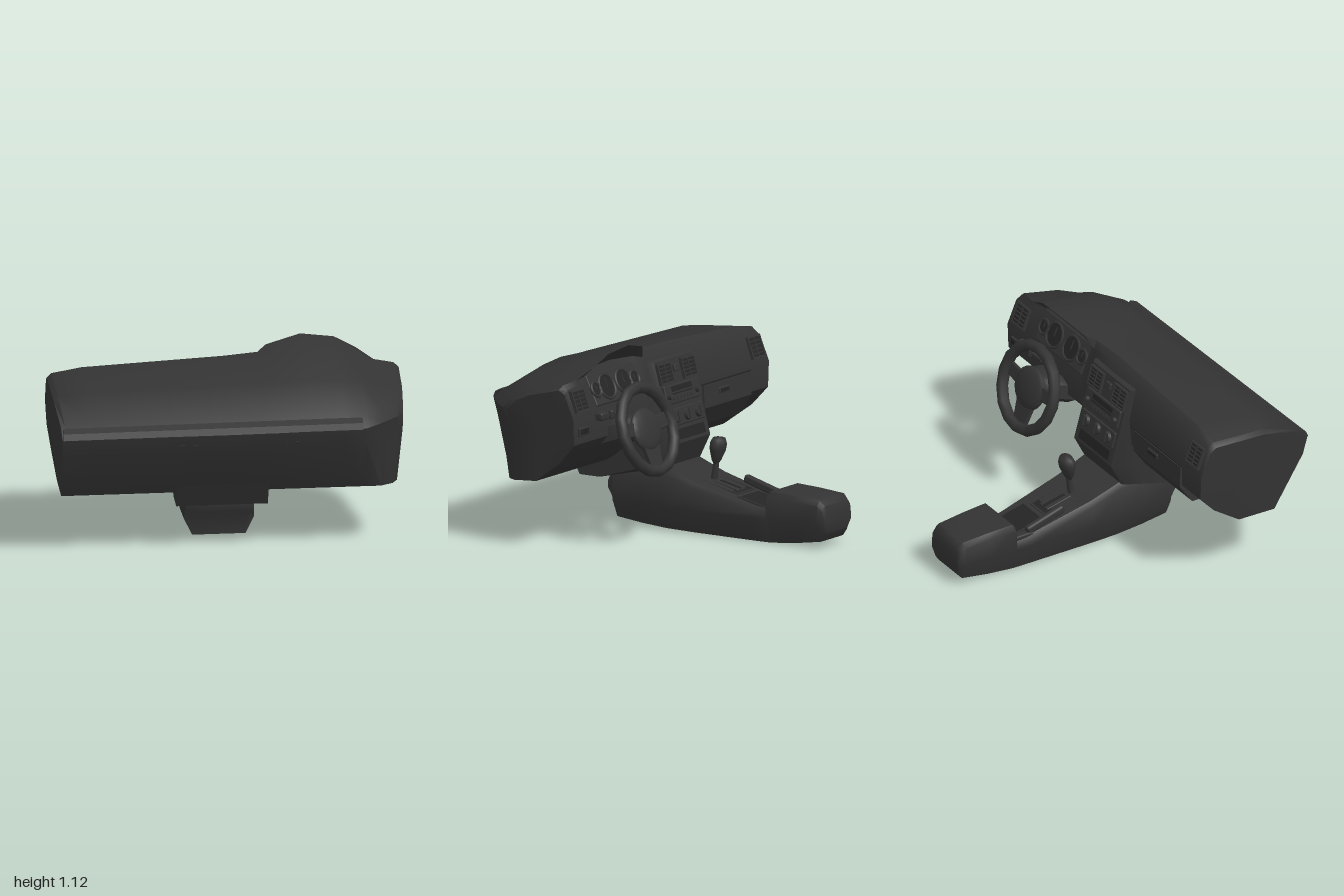
import * as THREE from 'three';
import { toCreasedNormals } from 'three/addons/utils/BufferGeometryUtils.js';
import { RoundedBoxGeometry } from 'three/addons/geometries/RoundedBoxGeometry.js';

const plastic = new THREE.MeshStandardMaterial({ color: 0x333333 });
plastic.name = 'darkGreyPlastic';
const recess = new THREE.MeshStandardMaterial({ color: 0x242424 });
recess.name = 'blackRecess';

// Skin a row of closed cross-sections (arrays of [x, y, z]) and cap both ends.
function loft(sections, crease = 0.6) {
  const n = sections[0].length, pos = [], p = sections.flat(), idx = [];
  for (let s = 0; s < sections.length - 1; s++) {
    for (let i = 0; i < n; i++) {
      const a = s * n + i, b = s * n + (i + 1) % n;
      idx.push(a, b, a + n, b, b + n, a + n);
    }
  }
  [0, sections.length - 1].forEach((s, k) => {
    const flat = sections[s];
    const c = [0, 1, 2].map((j) => flat.reduce((t, q) => t + q[j], 0) / n);
    const ci = p.push(c) - 1;
    for (let i = 0; i < n; i++) {
      const a = s * n + i, b = s * n + (i + 1) % n;
      if (k) idx.push(a, b, ci); else idx.push(b, a, ci);
    }
  });
  // Turn the faces outward whichever way the sections run.
  const v = idx.map((i) => new THREE.Vector3(...p[i]));
  let volume = 0;
  for (let i = 0; i < v.length; i += 3) volume += v[i].dot(v[i + 1].clone().cross(v[i + 2]));
  for (let i = 0; i < v.length; i += 3) {
    const t = volume > 0 ? [v[i], v[i + 1], v[i + 2]] : [v[i], v[i + 2], v[i + 1]];
    t.forEach((q) => pos.push(q.x, q.y, q.z));
  }
  const g = new THREE.BufferGeometry();
  g.setAttribute('position', new THREE.Float32BufferAttribute(pos, 3));
  return toCreasedNormals(g, crease);
}

function add(parent, name, geometry, x = 0, y = 0, z = 0, material = plastic) {
  const m = new THREE.Mesh(geometry, material);
  m.name = name;
  m.position.set(x, y, z);
  parent.add(m);
  return m;
}
const box = (w, h, d) => new THREE.BoxGeometry(w, h, d);
const rbox = (w, h, d, r) => new RoundedBoxGeometry(w, h, d, 2, r);
const knobGeo = (r, d) => new THREE.CylinderGeometry(r * 0.85, r, d, 14).rotateX(Math.PI / 2);

// Group facing the cabin: local +z points back and is tipped upward by t.
function facing(parent, name, x, y, z, t) {
  const g = new THREE.Group();
  g.name = name;
  g.position.set(x, y, z);
  g.rotation.set(-t, Math.PI, 0, 'YXZ');
  parent.add(g);
  return g;
}

function vent(parent, x, y, w, h) {
  const g = new THREE.Group();
  g.name = 'airVent';
  g.position.set(x, y, 0);
  parent.add(g);
  add(g, 'ventOpening', box(w, h, 0.012), 0, 0, 0.003, recess);
  for (const s of [-1, 1]) {
    add(g, 'ventFrameSide', box(0.01, h, 0.03), s * w / 2, 0, 0.003);
    add(g, 'ventFrameRail', box(w + 0.01, 0.01, 0.03), 0, s * h / 2, 0.003);
  }
  for (let i = 1; i < 5; i++) {
    add(g, 'ventSlat', box(w, 0.007, 0.016), 0, -h / 2 + i * h / 5, 0.006).rotation.x = 0.4;
  }
  add(g, 'ventDivider', box(0.007, h, 0.02), 0, 0, 0.006);
}

// Main dashboard shell, one cross-section per station across x.
function dashboard(root) {
  // x, front z, upper z, upper y, lip z, lip y, recess z, recess y
  const stations = [
    [-1.0, 0.915, 0.61, 0.92, 0.28, 0.945, 0.24, 0.92],
    [-0.975, 0.915, 0.62, 0.94, 0.28, 0.97, 0.24, 0.94],
    [-0.8, 0.915, 0.63, 0.965, 0.28, 1.0, 0.24, 0.96],
    [0.0, 0.915, 0.63, 0.985, 0.28, 1.04, 0.23, 0.99],
    [0.2, 0.91, 0.63, 0.99, 0.26, 1.05, 0.24, 1.0],
    [0.25, 0.91, 0.63, 0.99, 0.21, 1.075, 0.28, 1.01],
    [0.45, 0.9, 0.63, 1.0, 0.17, 1.12, 0.3, 1.02],
    [0.64, 0.89, 0.62, 0.99, 0.18, 1.1, 0.3, 1.01],
    [0.76, 0.88, 0.6, 0.97, 0.2, 1.04, 0.27, 0.98],
    [0.86, 0.79, 0.56, 0.93, 0.25, 0.98, 0.24, 0.95],
    [0.97, 0.69, 0.5, 0.91, 0.27, 0.965, 0.24, 0.94],
    [1.0, 0.64, 0.48, 0.89, 0.28, 0.94, 0.24, 0.92],
  ];
  const sections = stations.map(([x, zf, zu, yu, zl, yl, zr, yr]) => [
    [zf, 0.79], [zf - 0.07, 0.85], [zu, yu], [zl, yl], [zr, yr], [0.18, 0.78],
    [0.18, 0.63], [0.28, 0.52], [0.46, 0.39], [Math.min(0.7, zf - 0.03), 0.38], [zf - 0.03, 0.69],
  ].map(([z, y]) => {
    // The ends draw in toward the bottom and toward the windscreen.
    const taper = 0.13 * Math.max(0, 0.7 - y) + 0.07 * Math.max(0, z - 0.5) * (y > 0.6 ? 1 : 0);
    return [Math.abs(x) > 0.9 ? x * (1 - taper) : x, y, z];
  }));
  add(root, 'dashboardShell', loft(sections, 0.7));

  // Cowl strip along the windscreen edge and a shallow rib on the bulkhead side
  const strip = (x0, x1, prof, shift = 0) => loft([[x0, 0], [x1, shift]].map(
    ([x, dz]) => prof.map(([z, y]) => [x, y, z + dz])));
  add(root, 'cowlStrip', strip(-0.965, 0.74, [[0.925, 0.79], [0.91, 0.825], [0.87, 0.845], [0.83, 0.82], [0.87, 0.78]], -0.028));
  add(root, 'bulkheadRib', strip(-0.3, 0.4, [[0.9, 0.73], [0.888, 0.7], [0.84, 0.69], [0.84, 0.75]], -0.012));

  // Glove box door with latch
  add(root, 'gloveBoxDoor', strip(-0.8, -0.32, [[0.17, 0.75], [0.165, 0.62], [0.25, 0.5], [0.36, 0.5], [0.3, 0.75]]));
  add(root, 'gloveBoxLatch', rbox(0.1, 0.035, 0.016, 0.006), -0.52, 0.7, 0.168);
  add(root, 'gloveBoxLatchSlot', box(0.08, 0.018, 0.004), -0.52, 0.7, 0.159, recess);
  add(root, 'gloveBoxSeam', box(0.5, 0.008, 0.006), -0.56, 0.756, 0.177, recess);

  // Outer vents and switches
  for (const s of [-1, 1]) vent(facing(root, 'outerVent', s * 0.9, 0.87, 0.212, 0.36), 0, 0, 0.12, 0.12);
  add(root, 'switchPanel', rbox(0.1, 0.05, 0.02, 0.005), 0.9, 0.7, 0.178);
  for (const s of [-1, 1]) add(root, 'switch', box(0.035, 0.03, 0.008), 0.9 + s * 0.022, 0.7, 0.168, recess);
}

// Gauges under the hood
function instruments(root) {
  const g = facing(root, 'instrumentCluster', 0.5, 0.895, 0.237, 0.46);
  add(g, 'clusterPanel', rbox(0.48, 0.19, 0.02, 0.009));
  for (const [x, r] of [[-0.085, 0.072], [0.085, 0.072], [-0.195, 0.042], [0.195, 0.042]]) {
    add(g, 'gaugeRing', new THREE.TorusGeometry(r, 0.009, 6, 24), x, 0, 0.012);
    add(g, 'gaugeFace', new THREE.CircleGeometry(r, 24), x, 0, 0.0115, recess);
    add(g, 'gaugeNeedle', box(0.006, r * 0.8, 0.004), x, r * 0.3, 0.014);
  }
}

// Centre stack body with vents, radio and heater controls
function centreStack(root) {
  const prof = [[0.765, 0.5], [0.655, 0.28], [0.52, 0.28], [0.14, 0.36], [0.07, 0.5], [0.2, 0.96], [0.3, 0.99], [0.7, 0.7]];
  const body = [[-0.3, 0.11], [-0.25, 0.015], [-0.235, 0], [0.145, 0], [0.16, 0.015], [0.22, 0.11]].map(
    ([x, inset]) => prof.map(([z, y]) => [x, y, z < 0.25 ? z + inset : z]));
  add(root, 'centreStackBody', loft(body, 0.7));

  const g = facing(root, 'centreStackControls', -0.045, 0.73, 0.135, 0.275);
  for (const s of [-1, 1]) {
    vent(g, s * 0.12, 0.165, 0.125, 0.11);
    add(g, 'radioKnob', knobGeo(0.018, 0.025), s * 0.14, 0.03, 0.022);
  }
  add(g, 'hazardButton', rbox(0.05, 0.04, 0.02, 0.006), 0, 0.18, 0.006);
  add(g, 'radio', rbox(0.34, 0.11, 0.02, 0.008), 0, 0.04, 0.004);
  add(g, 'radioDisplay', box(0.2, 0.03, 0.004), 0, 0.068, 0.015, recess);
  add(g, 'discSlot', box(0.2, 0.008, 0.004), 0, 0.04, 0.015, recess);
  for (let i = 0; i < 6; i++) add(g, 'radioButton', box(0.027, 0.018, 0.008), -0.085 + i * 0.034, 0.011, 0.016);
  add(g, 'heaterPanel', rbox(0.34, 0.1, 0.018, 0.008), 0, -0.09, 0.002);
  for (const x of [-0.11, 0, 0.11]) {
    add(g, 'heaterDial', knobGeo(0.036, 0.02), x, -0.09, 0.018);
    add(g, 'heaterDialGrip', box(0.01, 0.058, 0.01), x, -0.09, 0.03);
  }
  add(g, 'lowerPocket', box(0.3, 0.06, 0.006), 0, -0.19, 0.001, recess);
}

// Steering wheel, column shroud and stalk
function steering(root) {
  const g = facing(root, 'steeringWheel', 0.51, 0.665, 0, 0.32);
  add(g, 'wheelRim', new THREE.TorusGeometry(0.245, 0.034, 8, 16));
  add(g, 'hubPad', new THREE.SphereGeometry(1, 16, 10).scale(0.14, 0.125, 0.036), 0, 0, -0.012);
  for (const s of [-1, 1]) {
    add(g, 'sideSpoke', rbox(0.17, 0.085, 0.024, 0.01), s * 0.155, 0.02, -0.012).rotation.z = s * 0.1;
  }
  const spoke = [[-0.08, -0.06], [-0.05, -0.24], [0.05, -0.24], [0.08, -0.06]];
  add(g, 'lowerSpoke', loft([-0.024, 0].map((z) => spoke.map(([x, y]) => [x, y, z]))));
  const ring = (z, w, h) => [[-w, -h * 0.5], [-w * 0.6, -h], [w * 0.6, -h], [w, -h * 0.5], [w, h * 0.6], [w * 0.6, h], [-w * 0.6, h], [-w, h * 0.6]]
    .map(([x, y]) => [x, y + 0.03, z]);
  add(g, 'columnShroud', loft([ring(-0.03, 0.08, 0.055), ring(-0.09, 0.125, 0.075), ring(-0.24, 0.14, 0.08)], 0.9));
  const stalk = new THREE.CylinderGeometry(0.012, 0.012, 0.18, 8).rotateZ(Math.PI / 2);
  add(root, 'stalk', stalk, 0.67, 0.765, 0.135);
  add(root, 'stalkGrip', rbox(0.08, 0.045, 0.05, 0.012), 0.77, 0.77, 0.135);
  add(root, 'stalkCollar', rbox(0.04, 0.05, 0.05, 0.01), 0.69, 0.768, 0.135);
}

// Tunnel console with armrest, tray, handbrake and gear lever
function tunnelConsole(root) {
  const cx = -0.04;
  const stations = [ // z, bottom, top, half width
    [-0.925, 0.1, 0.2, 0.135], [-0.915, 0.08, 0.25, 0.142], [-0.885, 0.04, 0.28, 0.15], [-0.72, 0.015, 0.292, 0.158],
    [-0.56, 0, 0.298, 0.165], [-0.548, 0, 0.285, 0.167], [-0.545, 0, 0.19, 0.168],
    [-0.45, 0, 0.2, 0.172], [-0.05, 0.005, 0.3, 0.195], [0.13, 0.01, 0.365, 0.205], [0.3, 0.022, 0.35, 0.205],
    [0.47, 0.04, 0.31, 0.2], [0.475, 0.145, 0.305, 0.198], [0.508, 0.19, 0.28, 0.19],
  ];
  add(root, 'consoleBody', loft(stations.map(([z, b, t, w]) => {
    const m = Math.max(b + 0.02, 0.14);
    const half = [[w * 0.76, b], [w, m], [w, Math.max(m + 0.01, t - 0.03)], [w - 0.025, t]];
    return [...half, ...half.map(([x, y]) => [-x, y]).reverse()].map(([x, y]) => [x + cx, y, z]);
  }), 0.75));

  const top = new THREE.Group();
  top.name = 'consoleTop';
  top.position.set(cx, 0.245, -0.25);
  top.rotation.x = -Math.atan(0.1 / 0.45);
  root.add(top);
  const frame = (name, x, z, w, d) => {
    add(top, name, box(w, 0.006, d), x, 0.002, z, recess);
    for (const s of [-1, 1]) {
      add(top, name + 'Side', box(0.01, 0.016, d), x + s * w / 2, 0.002, z);
      add(top, name + 'End', box(w + 0.01, 0.016, 0.01), x, 0.002, z + s * d / 2);
    }
  };
  frame('tray', 0.01, -0.17, 0.2, 0.19);
  frame('shiftGate', -0.01, 0.07, 0.17, 0.23);
  add(top, 'shiftGatePlate', rbox(0.08, 0.016, 0.17, 0.006), -0.01, 0.006, 0.07);
  add(top, 'shiftSlot', box(0.02, 0.004, 0.14), -0.01, 0.015, 0.06, recess);

  add(root, 'handbrakeGrip', rbox(0.04, 0.05, 0.26, 0.015), -0.17, 0.255, -0.335).rotation.x = -0.28;
  add(root, 'handbrakeBase', rbox(0.045, 0.03, 0.12, 0.01), -0.17, 0.198, -0.48);
  const lever = add(root, 'gearLever', new THREE.CylinderGeometry(0.014, 0.02, 0.16, 10), -0.05, 0.36, -0.09);
  lever.rotation.x = -0.15;
  const knob = [[0.012, 0], [0.03, 0.03], [0.05, 0.09], [0.052, 0.125], [0.04, 0.155], [0, 0.165]].map(([r, y]) => new THREE.Vector2(r, y));
  const k = add(root, 'gearKnob', new THREE.LatheGeometry(knob, 12), -0.05, 0.375, -0.09);
  k.rotation.x = -0.15;
  k.scale.set(1.15, 1, 0.85);
}

export function createModel() {
  const root = new THREE.Group();
  root.name = 'carDashboard';
  dashboard(root);
  instruments(root);
  centreStack(root);
  steering(root);
  tunnelConsole(root);
  return root;
}
